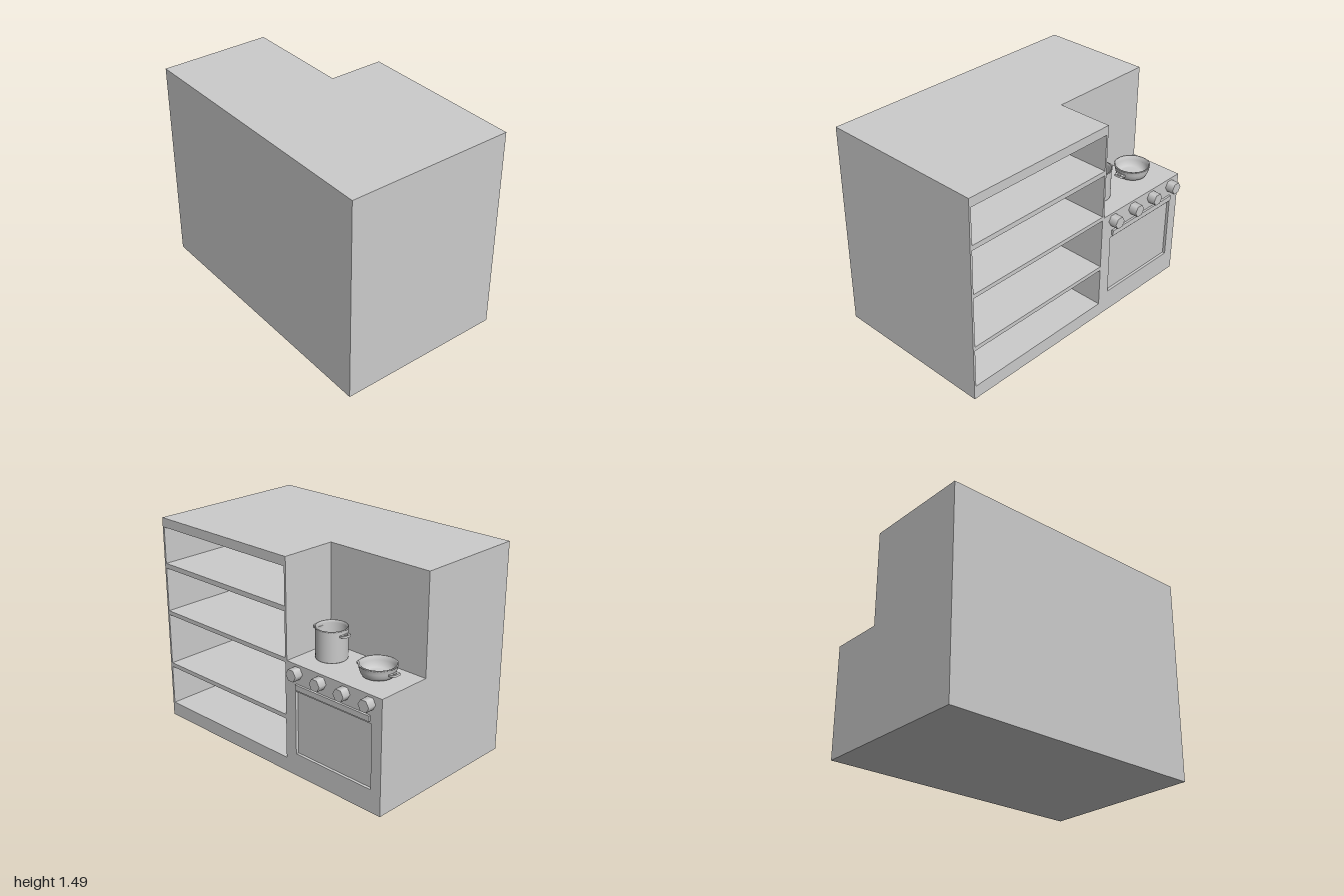
import * as THREE from 'three';

const FRONT = 0.565, BACK = -0.635, HEIGHT = 1.49;
const grey = new THREE.MeshStandardMaterial({ color: 0xcccccc });
const thin = new THREE.MeshStandardMaterial({ color: 0xcccccc, side: THREE.DoubleSide });

function add(parent, name, geometry, material = grey) {
  const mesh = new THREE.Mesh(geometry, material);
  mesh.name = name;
  parent.add(mesh);
  return mesh;
}

// Box given by its limits on each axis
function block(parent, name, [x0, x1], [y0, y1], [z0, z1]) {
  const mesh = add(parent, name, new THREE.BoxGeometry(x1 - x0, y1 - y0, z1 - z0));
  mesh.position.set((x0 + x1) / 2, (y0 + y1) / 2, (z0 + z1) / 2);
  return mesh;
}

function rect(path, z0, z1, y0, y1) {
  path.moveTo(-z1, y0).lineTo(-z0, y0).lineTo(-z0, y1).lineTo(-z1, y1).closePath();
  return path;
}

// Panel facing +x with rectangular openings, each [z0, z1, y0, y1]
function panel(parent, name, x0, x1, outline, openings) {
  const shape = rect(new THREE.Shape(), ...outline);
  shape.holes = openings.map((o) => rect(new THREE.Path(), ...o));
  const geometry = new THREE.ExtrudeGeometry(shape, { depth: x1 - x0, bevelEnabled: false });
  geometry.rotateY(Math.PI / 2);
  geometry.translate(x0, 0, 0);
  return add(parent, name, geometry);
}

// Small flat loop handle reaching out along +z
function handleGeometry() {
  const s = new THREE.Shape();
  s.moveTo(-0.034, -0.012).lineTo(0.034, -0.012).lineTo(0.034, 0.012);
  s.quadraticCurveTo(0.032, 0.034, 0.016, 0.034).lineTo(-0.016, 0.034);
  s.quadraticCurveTo(-0.032, 0.034, -0.034, 0.012).closePath();
  const hole = new THREE.Path();
  hole.absellipse(0, 0.011, 0.016, 0.011, 0, Math.PI * 2);
  s.holes.push(hole);
  const g = new THREE.ExtrudeGeometry(s, { depth: 0.014, bevelEnabled: false, curveSegments: 6 });
  g.rotateX(Math.PI / 2);
  return g;
}

function pot(name, profile, z, rimRadius, handleY) {
  const group = new THREE.Group();
  group.name = name;
  const points = profile.map(([r, y]) => new THREE.Vector2(r, y));
  add(group, name + 'Bowl', new THREE.LatheGeometry(points, 40), thin);
  for (const side of [0, 1]) {
    const handle = add(group, name + 'Handle', handleGeometry());
    const mount = new THREE.Group();
    handle.position.set(0, handleY, rimRadius);
    handle.rotation.x = -0.12;
    mount.rotation.y = side * Math.PI;
    mount.add(handle);
    group.add(mount);
  }
  group.position.set(0.335, 0.8, z);
  return group;
}

export function createModel() {
  const model = new THREE.Group();
  model.name = 'kitchenUnit';

  // Solid rear and the wall behind the stove
  const shelfBack = -0.235;
  block(model, 'rearBody', [BACK, shelfBack], [0, HEIGHT], [-1, 1]);
  block(model, 'stoveWall', [shelfBack, 0.165], [0, HEIGHT], [-1, -0.2]);

  // Open shelves
  const bays = [[0.1, 0.385], [0.415, 0.785], [0.815, 1.13], [1.165, 1.425]];
  panel(model, 'shelfUnit', shelfBack, FRONT, [-0.2, 1, 0, HEIGHT],
    bays.map(([y0, y1]) => [-0.185, 0.985, y0, y1]));

  // Stove with a recessed oven door
  const stove = new THREE.Group();
  stove.name = 'stove';
  model.add(stove);
  block(stove, 'stoveBody', [0.165, FRONT - 0.02], [0, 0.8], [-1, -0.2]);
  panel(stove, 'ovenFrame', FRONT - 0.02, FRONT, [-1, -0.2, 0, 0.8], [[-0.92, -0.275, 0.16, 0.61]]);
  block(stove, 'ovenHandle', [FRONT, 0.58], [0.627, 0.665], [-0.91, -0.285]);

  // Six-sided knobs
  for (const z of [-0.295, -0.5, -0.7, -0.905]) {
    const knob = add(stove, 'knob', new THREE.CylinderGeometry(0.044, 0.044, 0.062, 6));
    knob.rotation.z = -Math.PI / 2;
    knob.position.set(FRONT + 0.031, 0.745, z);
  }

  // Cookware
  model.add(pot('shallowPan', [
    [0, 0.002], [0.085, 0.002], [0.1, 0.01], [0.112, 0.03], [0.119, 0.055], [0.121, 0.076],
    [0.126, 0.079], [0.126, 0.085], [0.116, 0.085], [0.112, 0.055], [0.105, 0.032],
    [0.094, 0.014], [0.082, 0.008], [0, 0.008]], -0.763, 0.123, 0.055));
  model.add(pot('tallPot', [
    [0, 0.002], [0.1, 0.002], [0.105, 0.008], [0.105, 0.208], [0.109, 0.211], [0.109, 0.218],
    [0.101, 0.218], [0.1, 0.2], [0.1, 0.02], [0.094, 0.01], [0, 0.008]], -0.372, 0.109, 0.19));
  return model;
}
